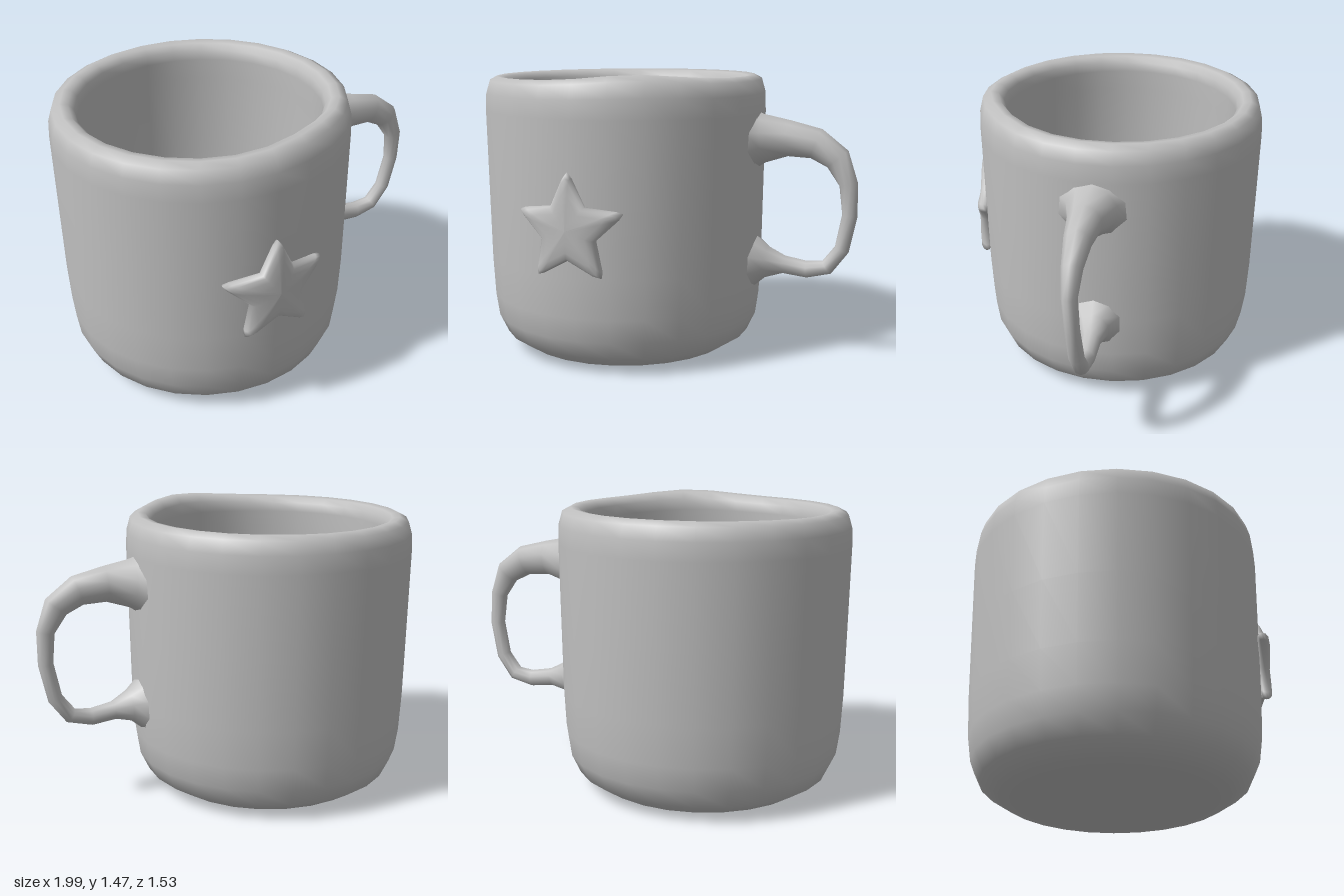
import * as THREE from 'three';

const CX = -0.25, CZ = -0.028;

// Skin over a list of rings of points; a ring may shrink to a point for a cap
function loft(rings) {
  const n = rings[0].length, pos = [], index = [];
  rings.forEach(r => r.forEach(p => pos.push(...p)));
  for (let i = 0; i < rings.length - 1; i++) {
    for (let j = 0; j < n; j++) {
      const a = i * n + j, b = i * n + (j + 1) % n;
      index.push(a, b, b + n, a, b + n, a + n);
    }
  }
  const g = new THREE.BufferGeometry();
  g.setAttribute('position', new THREE.Float32BufferAttribute(pos, 3));
  g.setIndex(index);
  g.computeVertexNormals();
  return g;
}

// Body: outer wall, rounded rim, inner wall and floor in one profile
function bodyGeometry() {
  const profile = [
    [0, 0.004], [0.46, 0.006], [0.56, 0.02], [0.66, 0.085], [0.705, 0.18], [0.722, 0.3],
    [0.732, 0.5], [0.738, 0.85], [0.745, 1.27], [0.741, 1.36], [0.722, 1.425], [0.68, 1.447],
    [0.64, 1.44], [0.613, 1.41], [0.607, 1.36], [0.615, 1.25], [0.625, 0.8], [0.62, 0.35],
    [0.58, 0.21], [0.48, 0.135], [0.3, 0.12], [0, 0.12],
  ].map(p => new THREE.Vector2(...p));
  const g = new THREE.LatheGeometry(profile, 26);
  const p = g.attributes.position;
  for (let i = 0; i < p.count; i++) {
    const x = p.getX(i), y = p.getY(i), z = p.getZ(i);
    // slightly uneven rim, highest at the front
    if (y > 1.3) {
      const d2 = (x - 0.28) ** 2 + (z - 0.62) ** 2;
      const w = (y - 1.3) / 0.147;
      p.setY(i, y + w * (0.03 * Math.exp(-d2 / 0.08) + 0.006 * x));
    }
    p.setZ(i, z * 0.993);
  }
  return g;
}

// Handle stations: x, y, half thickness, z centre, half depth
function handleGeometry() {
  const stations = [
    [0.41, 1.13, 0.17, -0.02, 0.23], [0.455, 1.13, 0.155, -0.02, 0.185],
    [0.51, 1.135, 0.125, -0.02, 0.13], [0.64, 1.14, 0.092, -0.015, 0.085],
    [0.78, 1.118, 0.08, -0.012, 0.066], [0.89, 1.045, 0.068, -0.01, 0.05],
    [0.948, 0.92, 0.047, -0.008, 0.038], [0.957, 0.76, 0.039, -0.02, 0.036],
    [0.92, 0.58, 0.038, -0.03, 0.038], [0.845, 0.48, 0.04, -0.035, 0.04],
    [0.74, 0.46, 0.045, -0.038, 0.043], [0.62, 0.477, 0.048, -0.035, 0.05],
    [0.53, 0.487, 0.085, -0.025, 0.085], [0.465, 0.49, 0.14, -0.02, 0.14],
    [0.41, 0.49, 0.17, -0.02, 0.18],
  ];
  const sides = 10;
  const rings = stations.map(([x, y, t, zc, d], i) => {
    const a = stations[Math.max(0, i - 1)], b = stations[Math.min(stations.length - 1, i + 1)];
    const len = Math.hypot(b[0] - a[0], b[1] - a[1]);
    const nx = -(b[1] - a[1]) / len, ny = (b[0] - a[0]) / len;
    return Array.from({ length: sides }, (_, j) => {
      const u = j / sides * Math.PI * 2, c = Math.cos(u) * t;
      return [x + nx * c, y + ny * c, zc + Math.sin(u) * d];
    });
  });
  return loft(rings);
}

// Puffy star wrapped onto the front wall
function starGeometry() {
  const outline = [];
  for (let k = 0; k < 5; k++) {
    const a = Math.PI / 2 + k * Math.PI * 0.4;
    for (const [da, r] of [[-0.08, 0.255], [0, 0.28], [0.08, 0.255], [Math.PI / 5, 0.145]]) {
      outline.push([Math.cos(a + da) * r, Math.sin(a + da) * r]);
    }
  }
  const layers = [[0, -0.03], [0.9, -0.025], [0.98, -0.012], [1, 0.005], [0.97, 0.02],
    [0.9, 0.031], [0.7, 0.037], [0.4, 0.041], [0, 0.044]];
  return loft(layers.map(([s, h]) => outline.map(([x, y]) => {
    const drop = 0.74 - Math.sqrt(0.74 ** 2 - (x * s) ** 2);
    return [x * s, y * s, h - drop];
  })));
}

export function createModel() {
  const group = new THREE.Group();
  group.name = 'mug';
  const grey = new THREE.MeshStandardMaterial({ color: 0xc0c0c0 });
  grey.name = 'ceramicGrey';

  const add = (name, geometry, x = 0, y = 0, z = 0) => {
    const m = new THREE.Mesh(geometry, grey);
    m.name = name;
    m.position.set(x, y, z);
    group.add(m);
  };
  add('body', bodyGeometry(), CX, 0, CZ);
  add('handle', handleGeometry());
  add('star', starGeometry(), -0.26, 0.745, 0.722);
  return group;
}
